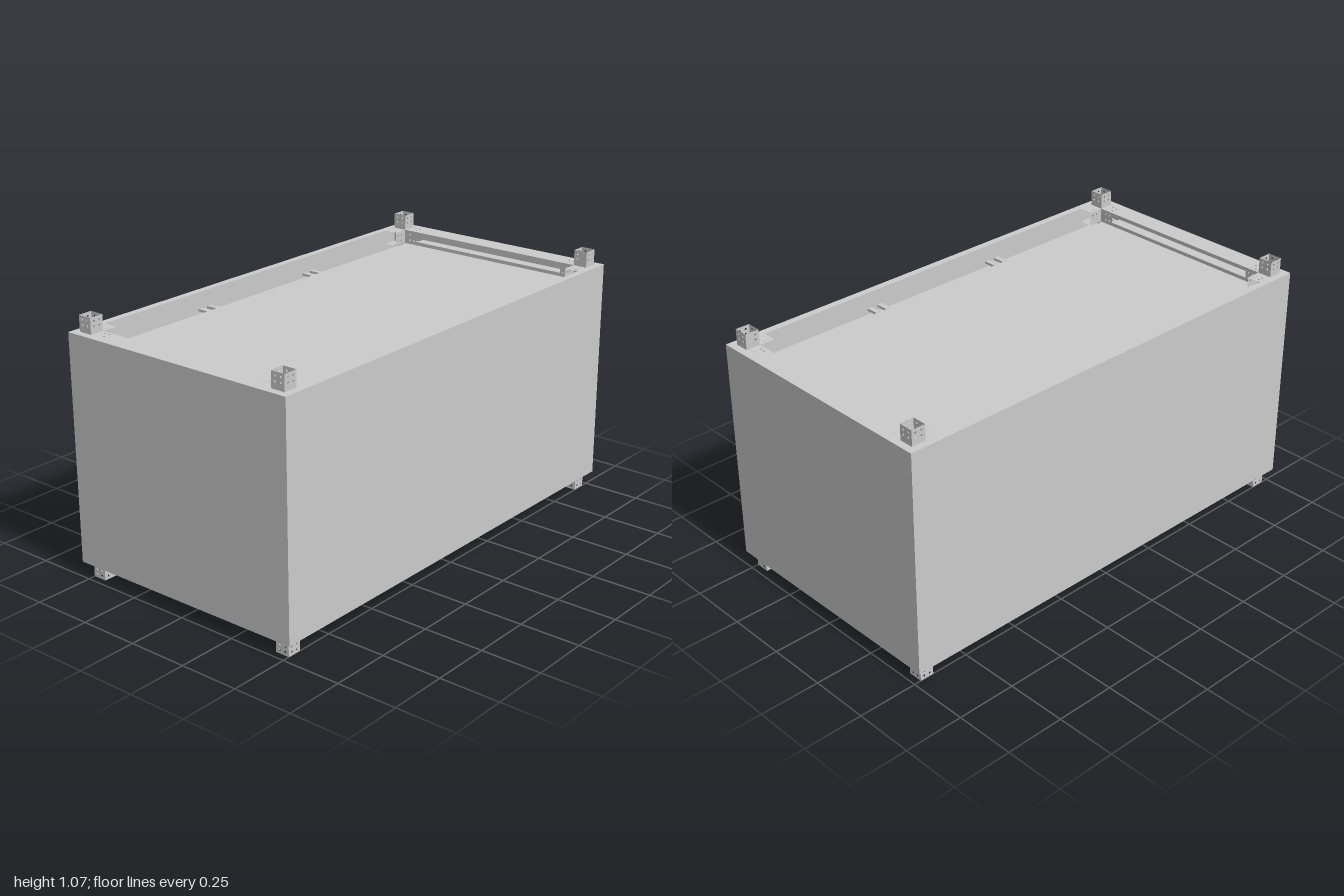
import * as THREE from 'three';

const H = 1.065;            // overall height
const T = 0.06;             // square tube size
const NX = 0.47, NZ = 0.94; // corner node centre
const NY = 0.035 + T;       // lower node centre height

export function createModel() {
  const root = new THREE.Group();
  root.name = 'containerModule';
  const mat = new THREE.MeshStandardMaterial({ color: 0xcccccc, flatShading: true });
  const thin = new THREE.MeshStandardMaterial({ color: 0xcccccc, flatShading: true, side: THREE.DoubleSide });

  // Box given by its limits on each axis
  function box(name, x0, x1, y0, y1, z0, z1, parent = root) {
    const mesh = new THREE.Mesh(new THREE.BoxGeometry(x1 - x0, y1 - y0, z1 - z0), mat);
    mesh.position.set((x0 + x1) / 2, (y0 + y1) / 2, (z0 + z1) / 2);
    mesh.name = name;
    parent.add(mesh);
    return mesh;
  }

  // One tube wall with four bolt holes near its free end
  const h = T / 2, len = 0.065;
  const wall = new THREE.Shape([[-h, 0], [h, 0], [h, len], [-h, len]].map(p => new THREE.Vector2(...p)));
  for (const x of [-0.013, 0.013]) for (const y of [len - 0.036, len - 0.015]) {
    wall.holes.push(new THREE.Path().absarc(x, y, 0.004, 0, Math.PI * 2, true));
  }
  const wallGeo = new THREE.ShapeGeometry(wall, 6);

  // Open square sleeve rising from the origin along y
  function sleeve(name) {
    const g = new THREE.Group();
    g.name = name;
    for (let i = 0; i < 4; i++) {
      const side = new THREE.Mesh(wallGeo, thin);
      side.name = 'perforatedWall';
      side.rotation.y = i * Math.PI / 2;
      side.position.set(Math.sin(side.rotation.y) * h, 0, Math.cos(side.rotation.y) * h);
      g.add(side);
    }
    return g;
  }

  // Outer wall panels
  const y0 = 0.065, y1 = H - 0.065;
  for (const s of [-1, 1]) {
    box('endPanel', -0.53, 0.53, y0, y1, -0.015, 0.015).position.z = s * 0.985;
    box('sidePanel', -0.015, 0.015, y0, y1, -0.97, 0.97).position.x = s * 0.515;
  }

  // Corner nodes with three sleeves, and the posts joining them
  for (const sx of [-1, 1]) for (const sz of [-1, 1]) {
    box('cornerPost', sx * NX - h, sx * NX + h, y0 + T, y1 - T, sz * NZ - h, sz * NZ + h);
    for (const sy of [-1, 1]) {
      const node = new THREE.Group();
      node.name = 'cornerNode';
      node.position.set(sx * NX, sy > 0 ? H - NY : NY, sz * NZ);
      box('nodeCore', -h, h, -h, h, -h, h, node);
      const up = sleeve('verticalSleeve');
      up.position.y = sy * h;
      if (sy < 0) up.rotation.x = Math.PI;
      const across = sleeve('crossSleeve');
      across.position.x = -sx * h;
      across.rotation.z = sx * Math.PI / 2;
      const along = sleeve('lengthSleeve');
      along.position.z = -sz * h;
      along.rotation.x = -sz * Math.PI / 2;
      node.add(up, across, along);
      root.add(node);
    }
  }

  // Floor and roof frames share one layout, mirrored about mid height
  for (const top of [false, true]) {
    const level = (name, x0, x1, a, b, z0, z1) => top
      ? box(name, x0, x1, H - b, H - a, z0, z1)
      : box(name, x0, x1, a, b, z0, z1);
    for (const s of [-1, 1]) {
      // End channel, open towards the middle
      const c = s * NZ, web = s * 0.964, e = s * 0.454;
      level('endChannelFlange', -0.375, 0.375, y0, y0 + 0.015, c - h, c + h);
      level('endChannelFlange', -0.375, 0.375, y0 + 0.045, y0 + T, c - h, c + h);
      level('endChannelWeb', -0.375, 0.375, y0 + 0.015, y0 + 0.045, web - 0.006, web + 0.006);
      level('sideBeam', e - 0.02, e + 0.02, 0.142, 0.185, -0.91, 0.91);
      // Clips holding the side panels off the frame
      for (const z of [-0.34, -0.29, 0.29, 0.34]) {
        const x = s * 0.475;
        level('panelClip', x - 0.025, x + 0.025, 0.132, 0.142, z - 0.011, z + 0.011);
      }
    }
  }

  // Roof plate between the side beams, and the flush floor plate
  box('roofPlate', -0.434, 0.434, H - 0.15, H - 0.125, -0.91, 0.91);
  box('floorPlate', -0.434, 0.434, 0.142, 0.165, -0.91, 0.91);

  // Narrow ribs under the floor
  for (let i = 0; i < 8; i++) {
    const z = -0.7 + i * 0.2;
    box('floorRib', -0.434, 0.434, 0.122, 0.142, z, z + 0.04);
  }
  return root;
}
